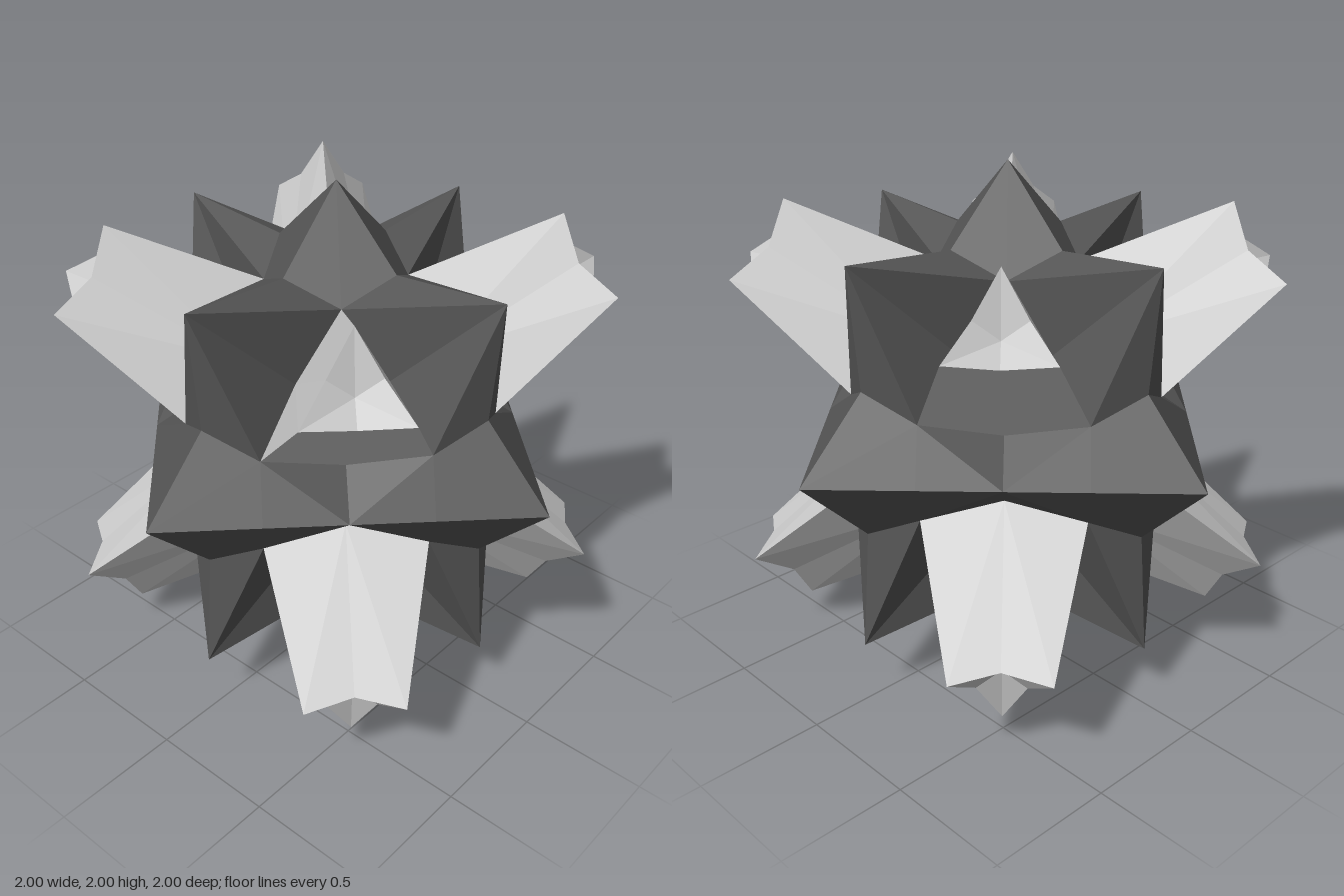
import * as THREE from 'three';

// The form is mirrored in all eight octants; each octant is threefold about its diagonal.
const pairs = [[0, 1], [1, 0], [1, 2], [2, 1], [2, 0], [0, 2]];
const octants = [];
for (const x of [1, -1]) for (const y of [1, -1]) for (const z of [1, -1]) octants.push([x, y, z]);

// point with value a on axis i, b on axis j, c on the remaining axis
function point(i, j, a, b, c) {
  const p = [c, c, c];
  p[i] = a;
  p[j] = b;
  return p;
}

// triangles of one octant, mirrored by signs, wound so they face away from the centre
function addTriangles(out, triangles, signs) {
  for (const triangle of triangles) {
    const [a, b, c] = triangle.map(p => new THREE.Vector3(...p.map((v, k) => v * signs[k])));
    const outward = a.dot(b.clone().cross(c)) > 0;
    for (const v of outward ? [a, b, c] : [a, c, b]) out.push(v.x, v.y, v.z);
  }
}

function makeMesh(name, positions, color) {
  const geometry = new THREE.BufferGeometry();
  geometry.setAttribute('position', new THREE.Float32BufferAttribute(positions, 3));
  geometry.computeVertexNormals();
  const mesh = new THREE.Mesh(geometry, new THREE.MeshStandardMaterial({ color, flatShading: true }));
  mesh.name = name;
  return mesh;
}

export function createModel() {
  const group = new THREE.Group();
  group.name = 'starPolyhedron';

  const bodyFaces = [];
  const spikeFaces = [];
  for (const [i, j] of pairs) {
    const baseCorner = point(i, j, 0.62, 0.19, 0.19);
    const baseNotch = point(i, j, 0.37, 0.37, 0.13);

    // dark body: axis point, saddle, and an edge point (flat around the waist)
    const axisTip = point(i, j, 1, 0, 0);
    const saddle = point(i, j, 0.715, 0.285, 0);
    const reach = i !== 1 && j !== 1 ? 0.5 : 0.755;
    const edgeTip = point(i, j, reach, reach, 0);
    bodyFaces.push(
      [axisTip, saddle, baseCorner],
      [saddle, edgeTip, baseCorner],
      [edgeTip, baseNotch, baseCorner]
    );

    // light spike: tapering three-cornered star with a sunken end
    const endCorner = point(i, j, 0.85, 0.59, 0.59);
    const endNotch = point(i, j, 0.69, 0.69, 0.56);
    const endCentre = [0.62, 0.62, 0.62];
    spikeFaces.push(
      [baseCorner, baseNotch, endCorner],
      [baseNotch, endNotch, endCorner],
      [endCorner, endNotch, endCentre]
    );
  }

  const body = [];
  octants.forEach((signs, n) => {
    addTriangles(body, bodyFaces, signs);
    const spike = [];
    addTriangles(spike, spikeFaces, signs);
    group.add(makeMesh('spike' + (n + 1), spike, 0xcccccc));
  });
  group.add(makeMesh('body', body, 0x555555));

  // stand on the ground
  for (const part of group.children) part.position.y = 1;
  return group;
}
